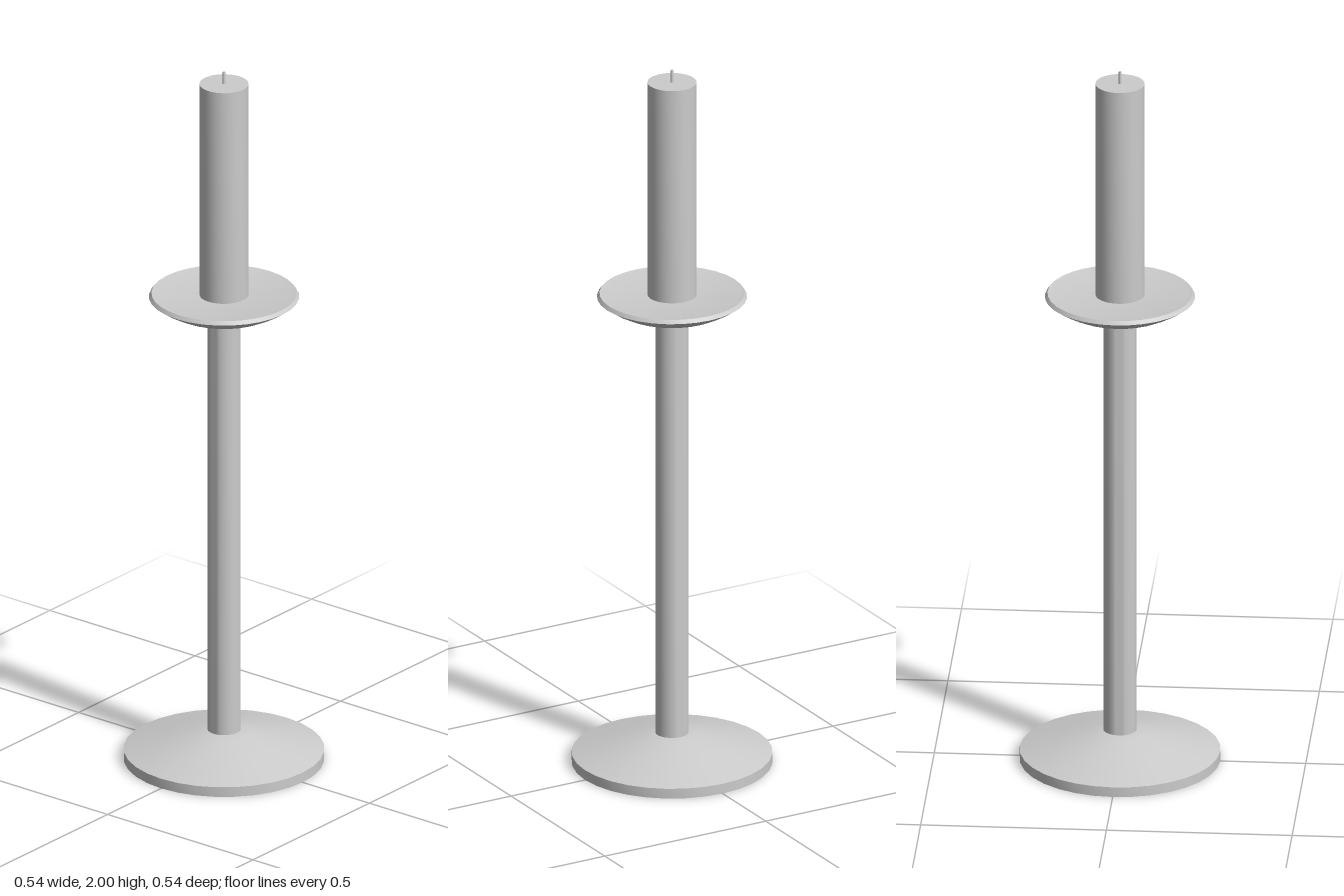
import * as THREE from 'three';
import { toCreasedNormals } from 'three/addons/utils/BufferGeometryUtils.js';

const SIDES = 32;

export function createModel() {
  const model = new THREE.Group();
  model.name = 'candlestick';
  const material = new THREE.MeshStandardMaterial({ color: 0xcccccc });

  // Turned part from a [radius, height] profile, listed bottom to top
  function turned(name, profile, sides = SIDES) {
    const points = profile.map(([r, y]) => new THREE.Vector2(r, y));
    const geometry = toCreasedNormals(new THREE.LatheGeometry(points, sides), 0.6);
    const mesh = new THREE.Mesh(geometry, material);
    mesh.name = name;
    model.add(mesh);
  }

  // Wide foot with a thin upright rim and a sloping top
  turned('base', [[0, 0], [0.27, 0], [0.27, 0.028], [0.16, 0.058], [0.07, 0.081], [0.045, 0.085], [0, 0.085]]);

  // Slender straight column
  turned('stem', [[0, 0.08], [0.045, 0.08], [0.045, 1.29], [0, 1.29]]);

  // Drip tray with a curved underside and a bevelled lip
  turned('dripTray', [
    [0, 1.28], [0.045, 1.28], [0.075, 1.287], [0.11, 1.297], [0.145, 1.311],
    [0.175, 1.327], [0.202, 1.345], [0.195, 1.355], [0.185, 1.353], [0, 1.35],
  ]);

  // Candle and its wick
  turned('candle', [[0, 1.345], [0.066, 1.345], [0.066, 1.965], [0, 1.965]]);
  turned('wick', [[0, 1.96], [0.004, 1.96], [0.004, 2], [0, 2]], 8);

  return model;
}
